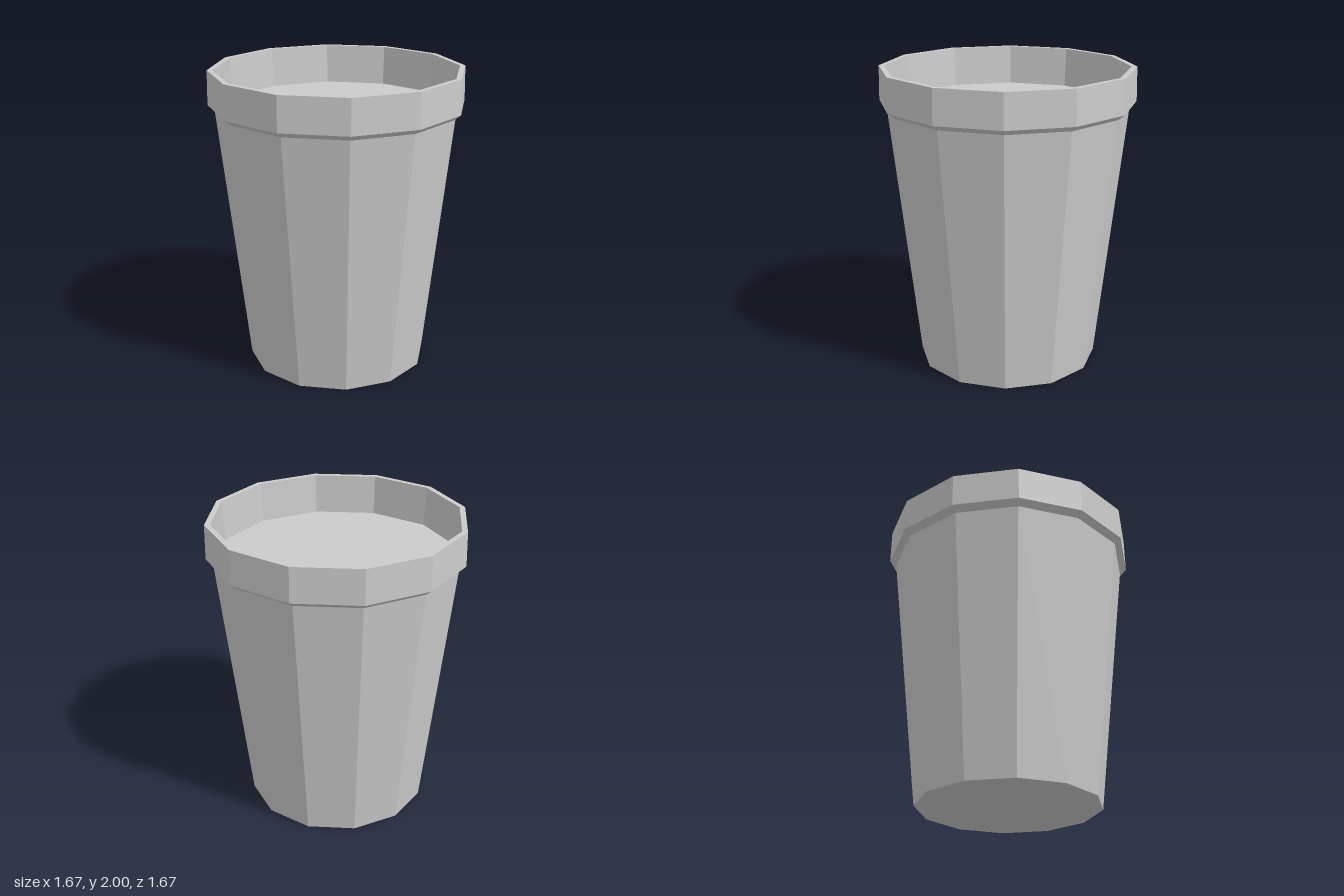
import * as THREE from 'three';

const SIDES = 12;

// Faceted surface of revolution from [radius, height] pairs
function turned(name, profile, material) {
  const points = profile.map(([r, y]) => new THREE.Vector2(r, y));
  const mesh = new THREE.Mesh(new THREE.LatheGeometry(points, SIDES), material);
  mesh.name = name;
  return mesh;
}

export function createModel() {
  const group = new THREE.Group();
  group.name = 'plantPot';
  const material = new THREE.MeshStandardMaterial({ color: 0xcccccc, flatShading: true });

  // Closed base and tapered wall
  group.add(turned('body', [[0, 0], [0.602, 0], [0.793, 1.74]], material));

  // Collar with a bevelled underside and a slightly sloped inner wall
  group.add(turned('rim', [
    [0.793, 1.74], [0.837, 1.775], [0.833, 2], [0.797, 2], [0.78, 1.74],
  ], material));

  // Flat surface inside the rim
  group.add(turned('filling', [[0.78, 1.74], [0, 1.74]], material));

  return group;
}
